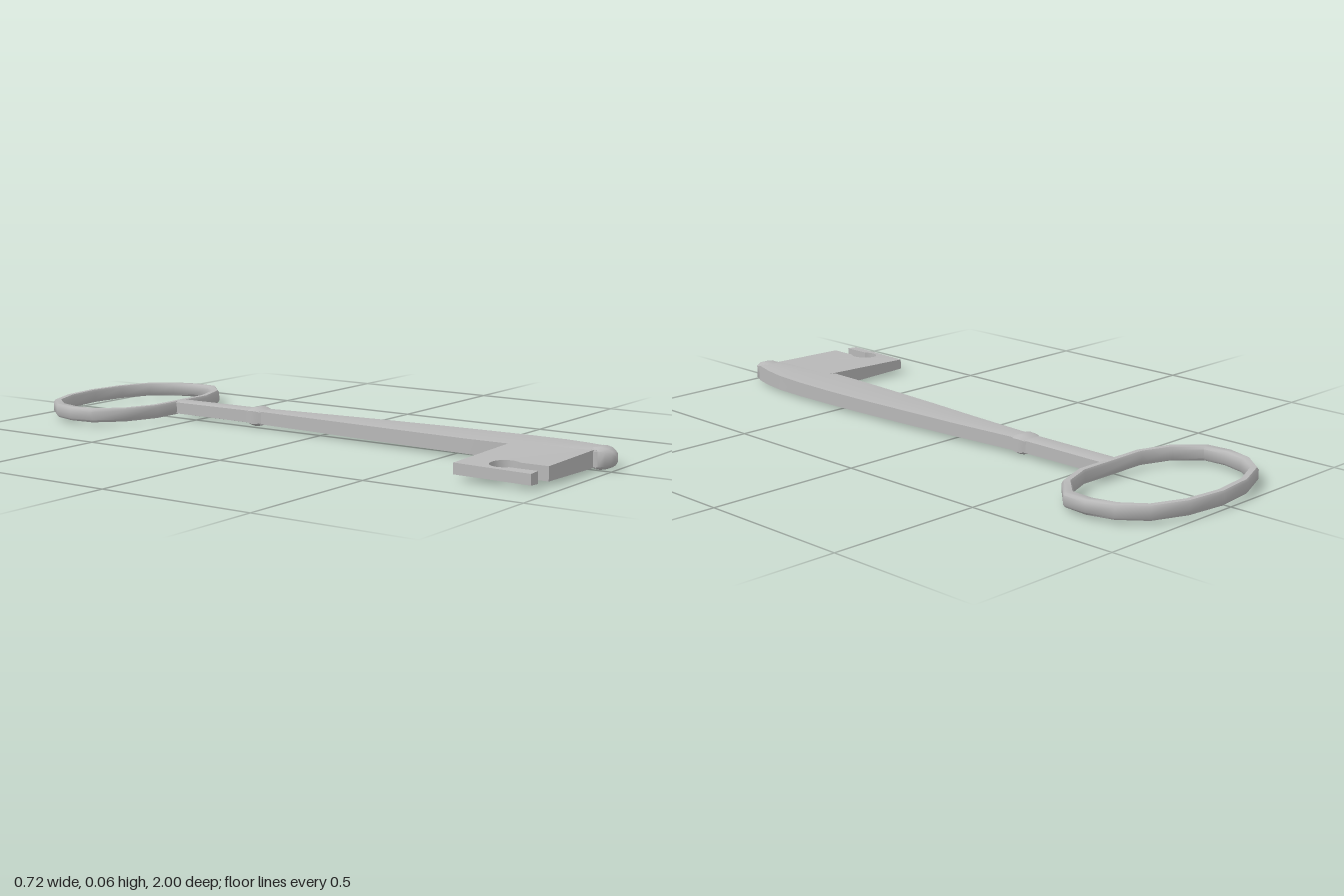
import * as THREE from 'three';
import { toCreasedNormals } from 'three/addons/utils/BufferGeometryUtils.js';

const MID_Y = 0.0325; // middle height of the key
const AXIS_X = 0.032; // x of the shank and bow centre

// Skin a row of equal-length cross-sections, either closed in a loop or capped
function loft(sections, loop, crease) {
  const n = sections[0].length, rows = sections.length, index = [];
  for (let i = 0; i < (loop ? rows : rows - 1); i++) {
    const a = i * n, b = ((i + 1) % rows) * n;
    for (let j = 0; j < n; j++) {
      const k = (j + 1) % n;
      index.push(a + j, a + k, b + j, a + k, b + k, b + j);
    }
  }
  if (!loop) {
    const e = (rows - 1) * n;
    for (let j = 1; j < n - 1; j++) index.push(0, j + 1, j, e, e + j, e + j + 1);
  }
  const geo = new THREE.BufferGeometry();
  geo.setAttribute('position', new THREE.Float32BufferAttribute(sections.flat(2), 3));
  geo.setIndex(index);
  return toCreasedNormals(geo, crease);
}

// Bow: oval ring with softened edges
function bowGeometry() {
  const half = [[0, -1], [0.13, -0.985], [0.24, -0.94], [0.302, -0.866],
    [0.326, -0.783], [0.318, -0.698], [0.24, -0.622], [0.128, -0.583]];
  const path = [...half, ...half.slice(1).reverse().map(([x, z]) => [-x, z])];
  const profile = [[1, -0.65], [1, 0.65], [0.65, 1], [-0.65, 1],
    [-1, 0.65], [-1, -0.65], [-0.65, -1], [0.65, -1]];
  const count = path.length;
  const sections = path.map(([x, z], i) => {
    const p = path[(i + count - 1) % count], q = path[(i + 1) % count];
    const len = Math.hypot(q[0] - p[0], q[1] - p[1]);
    const nx = (q[1] - p[1]) / len, nz = -(q[0] - p[0]) / len;
    return profile.map(([u, v]) => [
      AXIS_X + x + nx * 0.018 * (u - 1), MID_Y + 0.0215 * v, z + nz * 0.0125 * (u - 1)]);
  });
  return loft(sections, true, 0.9);
}

// Shaft pieces: rows of [z, left x, right x, half height]
function shaftGeometry(rows, edge, crease) {
  const profile = [[1, -edge], [1, edge], [0.55, 1], [-0.55, 1],
    [-1, edge], [-1, -edge], [-0.55, -1], [0.55, -1]];
  return loft(rows.map(([z, l, r, h]) => profile.map(([u, v]) =>
    [(l + r) / 2 + u * (r - l) / 2, MID_Y + v * h, z])), false, crease);
}

// Bit: flat plate with a keyhole slot, thinner towards its outer end
function bitGeometry() {
  const s = new THREE.Shape();
  s.moveTo(0, 0.698);
  s.lineTo(0, 0.947);
  s.lineTo(-0.267, 0.947);
  s.lineTo(-0.267, 0.858);
  const cx = -0.297, cz = 0.828, r = 0.043;
  const a0 = Math.atan2(0.03, 0.03), a1 = Math.atan2(0.03, -0.03) - Math.PI * 2;
  for (let i = 0; i <= 14; i++) {
    const a = a0 + (a1 - a0) * i / 14;
    s.lineTo(cx + r * Math.cos(a), cz + r * Math.sin(a));
  }
  s.lineTo(-0.327, 0.947);
  s.lineTo(-0.365, 0.947);
  s.lineTo(-0.352, 0.698);
  const geo = new THREE.ExtrudeGeometry(s, { depth: 1, bevelEnabled: false });
  geo.rotateX(Math.PI / 2);
  const p = geo.attributes.position;
  for (let i = 0; i < p.count; i++) {
    const x = p.getX(i);
    const h = x < -0.27 ? 0.021 + (x + 0.27) * 0.055 : 0.021 + (x + 0.27) * 0.0185;
    p.setY(i, MID_Y + (p.getY(i) > -0.5 ? h : -h));
  }
  return toCreasedNormals(geo, 0.6);
}

export function createModel() {
  const group = new THREE.Group();
  const steel = new THREE.MeshStandardMaterial({ color: 0xb8b8b8 });
  steel.name = 'steel grey';
  const add = (name, geo) => {
    const mesh = new THREE.Mesh(geo, steel);
    mesh.name = name;
    group.add(mesh);
  };

  add('bow', bowGeometry());
  add('shank', shaftGeometry([
    [-0.598, 0, 0.065, 0.0215], [-0.28, 0, 0.065, 0.0225]], 0.85, 0.6));
  add('collar', shaftGeometry([
    [-0.292, 0, 0.065, 0.0225], [-0.278, -0.006, 0.072, 0.028],
    [-0.262, -0.008, 0.074, 0.03], [-0.247, -0.005, 0.071, 0.028],
    [-0.232, 0, 0.067, 0.0225]], 0.7, 0.9));
  add('blade', shaftGeometry([
    [-0.24, 0, 0.066, 0.0225], [0, -0.013, 0.087, 0.023], [0.2, -0.026, 0.1, 0.024],
    [0.4, -0.037, 0.111, 0.0245], [0.55, -0.044, 0.115, 0.025], [0.69, -0.046, 0.115, 0.026],
    [0.8, -0.03, 0.109, 0.027], [0.88, -0.018, 0.094, 0.028], [0.955, -0.004, 0.072, 0.029]], 0.9, 0.6));
  add('tip', shaftGeometry([
    [0.93, -0.004, 0.07, 0.028], [0.945, -0.009, 0.074, 0.0315], [0.96, -0.007, 0.071, 0.0325],
    [0.978, 0.002, 0.064, 0.029], [0.992, 0.014, 0.053, 0.021], [1, 0.026, 0.041, 0.01]], 0.7, 1));
  add('bit', bitGeometry());
  return group;
}
